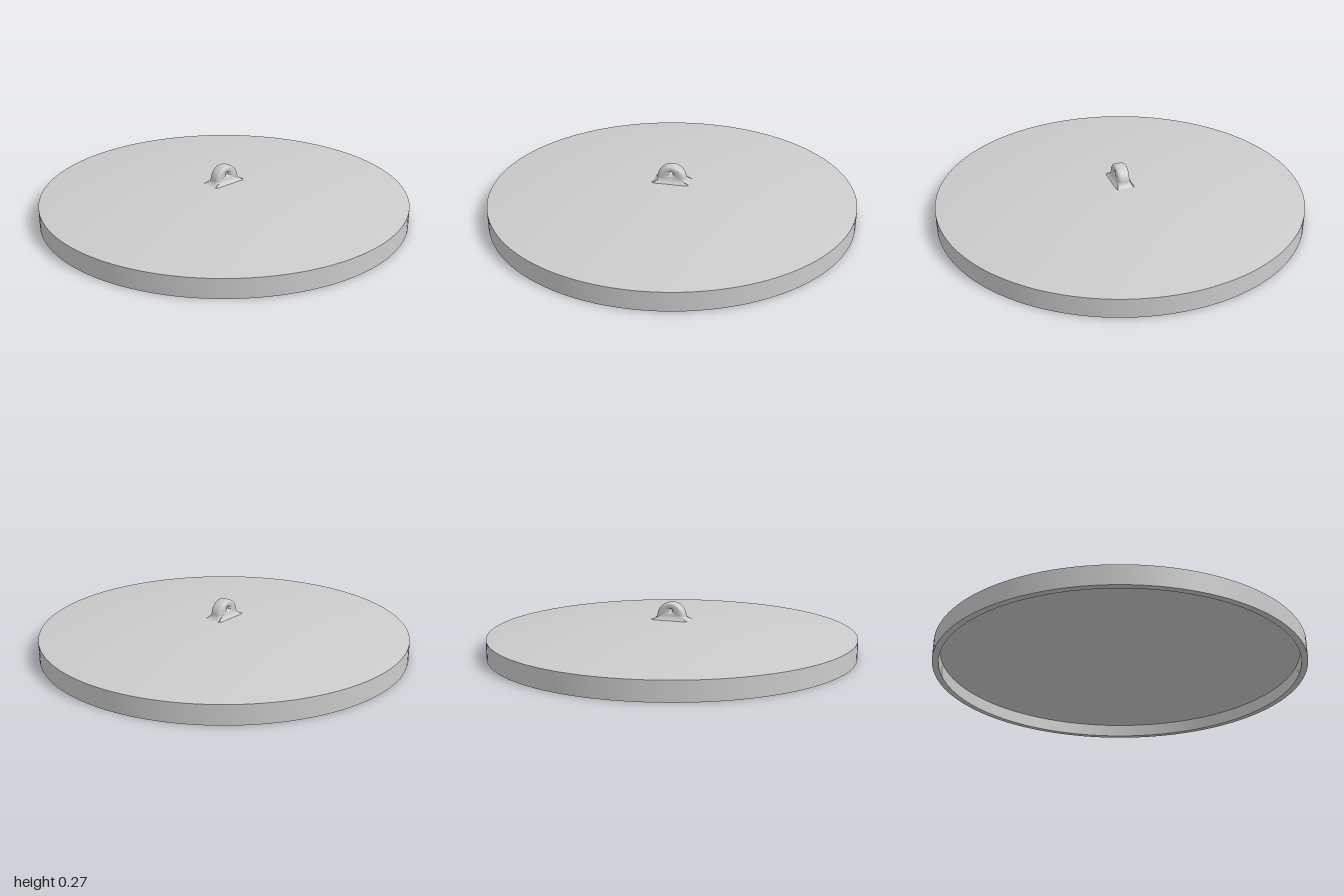
import * as THREE from 'three';
import { toCreasedNormals } from 'three/addons/utils/BufferGeometryUtils.js';
import { ParametricGeometry } from 'three/addons/geometries/ParametricGeometry.js';

const grey = new THREE.MeshStandardMaterial({ color: 0xcccccc });

// Shallow domed height: rim at the edge, rim + 0.07 at the centre
const dome = (r, rim) => rim + 0.07 * (1 - r * r);

// Hollow lid: domed ceiling, inner wall, rim, outer wall, domed top
function lidGeometry() {
  const points = [];
  const steps = 24, inner = 0.966;
  for (let i = 0; i <= steps; i++) {
    const r = inner * i / steps;
    points.push(new THREE.Vector2(r, dome(r, 0.066)));
  }
  points.push(new THREE.Vector2(inner, 0), new THREE.Vector2(1, 0));
  for (let i = steps; i >= 0; i--) {
    const r = i / steps;
    points.push(new THREE.Vector2(r, dome(r, 0.103)));
  }
  return toCreasedNormals(new THREE.LatheGeometry(points, 128), Math.PI / 6);
}

// Rounded lug with a small eye: a ring of soft sections between eye and outline
function lugGeometry() {
  const outline = new THREE.Shape();
  outline.moveTo(0.115, 0.15);
  outline.lineTo(0.115, 0.168);
  outline.quadraticCurveTo(0.088, 0.172, 0.08, 0.195);
  outline.absarc(0, 0.19, 0.08, 0.06, Math.PI - 0.06, false);
  outline.quadraticCurveTo(-0.088, 0.172, -0.115, 0.168);
  outline.lineTo(-0.115, 0.15);
  outline.closePath();

  const eye = new THREE.Vector2(0, 0.226), eyeRadius = 0.008;
  const soft = (c) => Math.sign(c) * Math.pow(Math.abs(c), 0.62);
  return new ParametricGeometry((u, v, target) => {
    const edge = outline.getPointAt(u).sub(eye);
    const reach = edge.length();
    const a = v * Math.PI * 2;
    const half = (reach - eyeRadius) / 2;
    const p = edge.normalize().multiplyScalar(eyeRadius + half * (1 + soft(Math.cos(a)))).add(eye);
    // Thickness flares into a fillet where the lug meets the dome
    const flare = THREE.MathUtils.clamp((0.2 - p.y) / 0.03, 0, 1);
    target.set(p.x, p.y, soft(Math.sin(a)) * (0.034 + 0.022 * flare * flare));
  }, 96, 40);
}

export function createModel() {
  const model = new THREE.Group();
  model.name = 'lid';

  const cover = new THREE.Mesh(lidGeometry(), grey);
  cover.name = 'domedCover';
  model.add(cover);

  const lug = new THREE.Mesh(lugGeometry(), grey);
  lug.name = 'handleLug';
  lug.rotation.y = Math.PI / 2;
  model.add(lug);

  return model;
}
